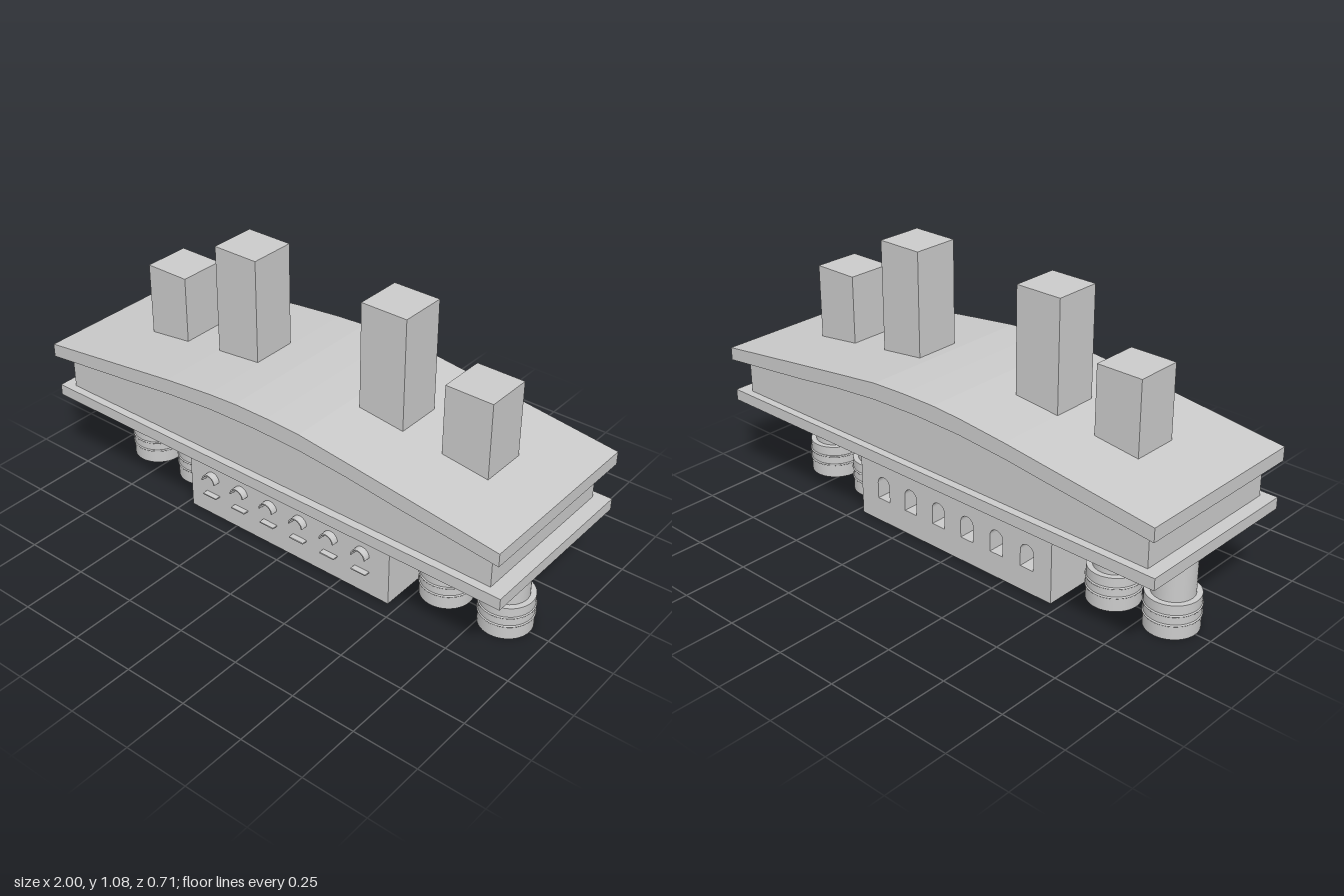
import * as THREE from 'three';

const material = new THREE.MeshStandardMaterial({ color: 0xcccccc });
const thinMaterial = new THREE.MeshStandardMaterial({ color: 0xcccccc, side: THREE.DoubleSide });

function add(parent, name, geometry, x = 0, y = 0, z = 0, mat = material) {
  const mesh = new THREE.Mesh(geometry, mat);
  mesh.name = name;
  mesh.position.set(x, y, z);
  parent.add(mesh);
  return mesh;
}

// Box given by its limits
function addBox(parent, name, x0, x1, y0, y1, z0, z1) {
  return add(parent, name, new THREE.BoxGeometry(x1 - x0, y1 - y0, z1 - z0),
    (x0 + x1) / 2, (y0 + y1) / 2, (z0 + z1) / 2);
}

function extrude(shape, depth) {
  return new THREE.ExtrudeGeometry(shape, { depth, bevelEnabled: false, curveSegments: 10 });
}

// Front outline through a list of [x, y] corners
function outline(points) {
  return new THREE.Shape(points.map(([x, y]) => new THREE.Vector2(x, y)));
}

// Window outline: straight jambs below a half-round arch
function archPath(cx, y0, springY, r) {
  const path = new THREE.Path();
  path.moveTo(cx - r, y0);
  path.lineTo(cx + r, y0);
  path.lineTo(cx + r, springY);
  path.absarc(cx, springY, r, 0, Math.PI, false);
  path.lineTo(cx - r, y0);
  return path;
}

// Remove the underside so the hall is an open shell below
function openBottom(geometry, y0) {
  const flat = geometry.index ? geometry.toNonIndexed() : geometry;
  const p = flat.attributes.position;
  const kept = [];
  for (let i = 0; i < p.count; i += 3) {
    const isBottom = [0, 1, 2].every((k) => Math.abs(p.getY(i + k) - y0) < 1e-5);
    if (!isBottom) {
      for (let k = 0; k < 3; k++) kept.push(p.getX(i + k), p.getY(i + k), p.getZ(i + k));
    }
  }
  const open = new THREE.BufferGeometry();
  open.setAttribute('position', new THREE.Float32BufferAttribute(kept, 3));
  open.computeVertexNormals();
  return open;
}

function createColumn(x) {
  const column = new THREE.Group();
  column.name = 'column';
  column.position.x = x;
  add(column, 'columnShaft', new THREE.CylinderGeometry(0.078, 0.078, 0.23, 40), 0, 0.245);
  add(column, 'columnBase', new THREE.CylinderGeometry(0.099, 0.099, 0.133, 40), 0, 0.0665);
  for (const y of [0.055, 0.092]) {
    const ring = add(column, 'columnRing', new THREE.TorusGeometry(0.099, 0.004, 8, 40), 0, y);
    ring.rotation.x = Math.PI / 2;
  }
  return column;
}

export function createModel() {
  const model = new THREE.Group();
  model.name = 'building';

  // Central hall with arched recesses, closed by a front wall
  const hall = new THREE.Group();
  hall.name = 'hall';
  model.add(hall);
  const x0 = -0.47, x1 = 0.465, y0 = 0.005, y1 = 0.36, front = 0.194;
  const wall = outline([[x0, y0], [x1, y0], [x1, y1], [x0, y1]]);
  const windows = Array.from({ length: 6 }, (_, i) => -0.36 + i * 0.1415);
  for (const x of windows) wall.holes.push(archPath(x, 0.1, 0.165, 0.03));
  const shell = openBottom(extrude(wall, 0.386), y0);
  add(hall, 'hallWalls', shell, 0, 0, -0.192, thinMaterial);
  add(hall, 'frontWall', new THREE.PlaneGeometry(x1 - x0, y1 - y0),
    (x0 + x1) / 2, (y0 + y1) / 2, front + 0.0005, thinMaterial);

  // Arched hoods and thin sills on the front
  const hoodShape = new THREE.Shape();
  hoodShape.absarc(0, 0, 0.032, 0, Math.PI, false);
  hoodShape.absarc(0, 0, 0.027, Math.PI, 0, true);
  const hood = extrude(hoodShape, 0.028);
  for (const x of windows) {
    add(hall, 'windowHood', hood, x, 0.166, front);
    addBox(hall, 'windowSill', x - 0.032, x + 0.032, 0.098, 0.103, front, 0.217);
  }

  // Columns, two on each side
  for (const x of [-0.84, -0.594, 0.579, 0.826]) model.add(createColumn(x));

  // Flat slab over the columns
  addBox(model, 'slab', -1, 1, 0.36, 0.404, -0.341, 0.342);

  // Upper storey, its top following the roof
  const underside = [[-0.95, 0.545], [-0.6, 0.581], [-0.4, 0.605], [-0.2, 0.622], [0, 0.627],
    [0.2, 0.622], [0.4, 0.604], [0.6, 0.578], [0.943, 0.543]];
  const storey = outline([[0.943, 0.404], ...underside.slice().reverse(), [-0.95, 0.404]]);
  add(model, 'upperStorey', extrude(storey, 0.621), 0, 0, -0.31);

  // Gently arched roof
  const roofTop = [[-1, 0.588], [-0.6, 0.638], [-0.4, 0.663], [-0.2, 0.683], [-0.08, 0.69],
    [0.06, 0.69], [0.2, 0.685], [0.4, 0.661], [0.6, 0.636], [0.993, 0.586]];
  const roofBottom = [[-1, 0.536], ...underside.slice(1, -1), [0.993, 0.536]];
  const roof = outline([...roofBottom, ...roofTop.reverse()]);
  add(model, 'roof', extrude(roof, 0.712), 0, 0, -0.356);

  // Chimneys: a tall inner and a short outer one on each side
  const chimneys = [[-0.735, -0.555, 0.9], [-0.398, -0.213, 1.08], [0.245, 0.428, 1.08], [0.587, 0.77, 0.9]];
  for (const [left, right, top] of chimneys) {
    addBox(model, 'chimney', left, right, 0.61, top, -0.09, 0.09);
  }
  return model;
}
